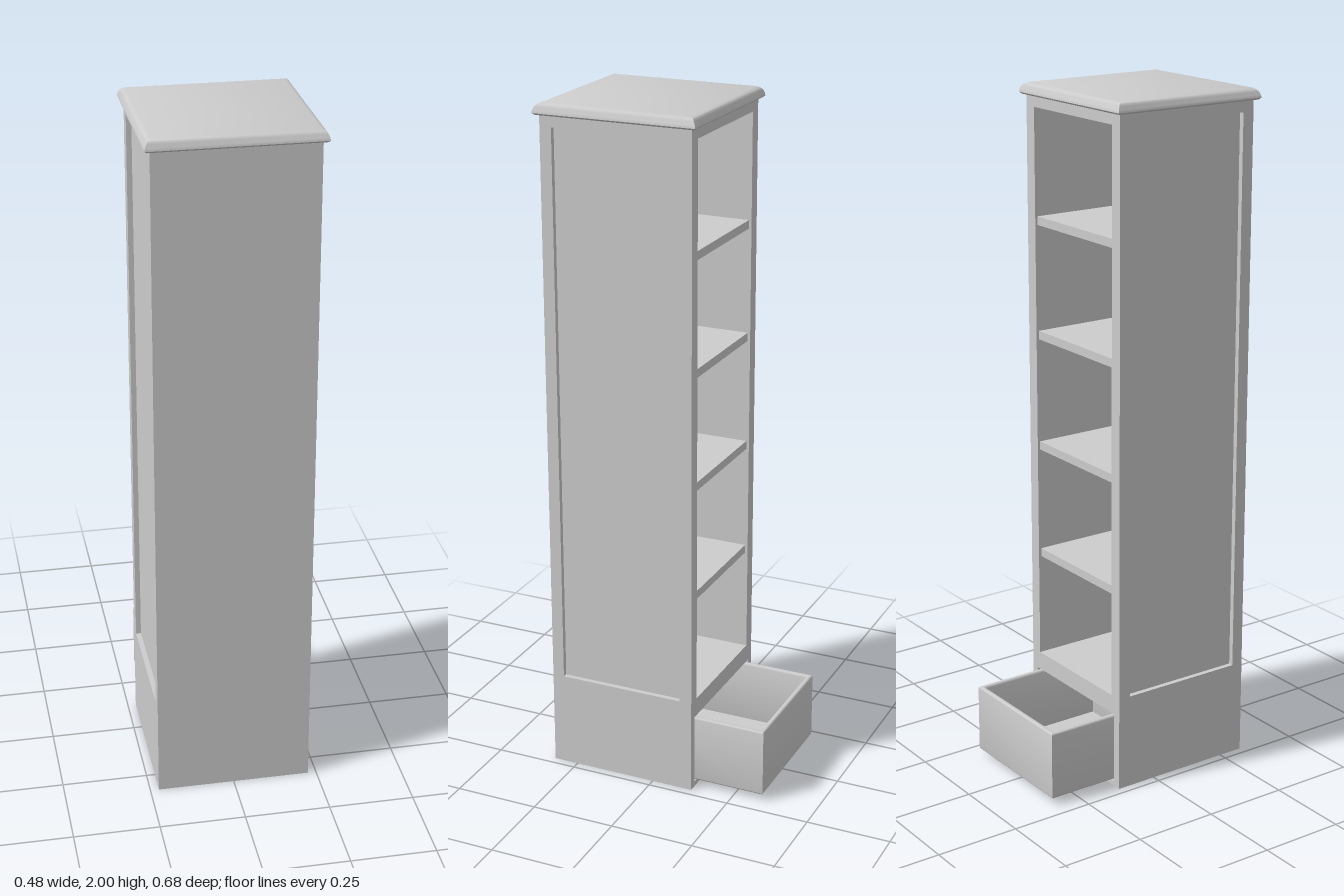
import * as THREE from 'three';
import { toCreasedNormals } from 'three/addons/utils/BufferGeometryUtils.js';

export function createModel() {
  const model = new THREE.Group();
  model.name = 'cabinet';
  const grey = new THREE.MeshStandardMaterial({ color: 0xcccccc });
  grey.name = 'light grey';

  const add = (name, geometry, parent = model) => {
    const mesh = new THREE.Mesh(geometry, grey);
    mesh.name = name;
    parent.add(mesh);
    return mesh;
  };
  // Box given by its extents on each axis
  const box = (name, [x0, x1], [y0, y1], [z0, z1], parent) => {
    const mesh = add(name, new THREE.BoxGeometry(x1 - x0, y1 - y0, z1 - z0), parent);
    mesh.position.set((x0 + x1) / 2, (y0 + y1) / 2, (z0 + z1) / 2);
    return mesh;
  };
  const rectangle = (Type, x0, x1, y0, y1) => new Type([
    new THREE.Vector2(x0, y0), new THREE.Vector2(x1, y0),
    new THREE.Vector2(x1, y1), new THREE.Vector2(x0, y1),
  ]);

  const back = -0.125, inner = 0.29, front = 0.325;
  const low = 0.285, high = 1.935, top = 1.97;

  // Closed front and horizontal boards
  box('frontPanel', [-0.21, 0.21], [0, top], [inner, front]);
  box('baseBoard', [-0.2, 0.2], [0, 0.015], [back, inner]);
  box('compartmentDivider', [-0.21, 0.21], [0.23, low], [back, inner]);
  box('topBoard', [-0.21, 0.21], [high, top], [back, inner]);

  // Sides: outer frame with a recessed panel behind it
  for (const s of [-1, 1]) {
    const side = new THREE.Group();
    side.name = s > 0 ? 'leftSide' : 'rightSide';
    model.add(side);
    const shape = rectangle(THREE.Shape, -front, -back, 0, top);
    shape.holes.push(rectangle(THREE.Path, -0.29, 0.087, low, high));
    const geometry = new THREE.ExtrudeGeometry(shape, { depth: 0.015, bevelEnabled: false });
    geometry.rotateY(Math.PI / 2);
    add('sideFrame', geometry, side).position.x = s > 0 ? 0.21 : -0.225;
    const span = (a, b) => (s > 0 ? [a, b] : [-b, -a]);
    box('recessedPanel', span(0.187, 0.21), [low, high], [back, inner], side);
    box('drawerBayWall', span(0.2, 0.21), [0, 0.23], [back, inner], side);
  }

  // Four evenly spaced shelves
  for (let i = 1; i <= 4; i++) {
    const y = low + i * 0.335;
    box('shelf' + i, [-0.187, 0.187], [y - 0.025, y], [back + 0.008, inner]);
  }

  // Overhanging cap with a rounded edge, as a four-sided lathe
  const profile = [[0, 1.967], [0.234, 1.967], [0.24, 1.972], [0.239, 1.98],
    [0.235, 1.989], [0.229, 1.996], [0.22, 2], [0, 2]]
    .map(([r, y]) => new THREE.Vector2(r * Math.SQRT2, y));
  const cap = new THREE.LatheGeometry(profile, 4);
  cap.rotateY(Math.PI / 4);
  add('cap', toCreasedNormals(cap, 0.75)).position.z = 0.1;

  // Open drawer: softened walls around a floor
  const drawer = new THREE.Group();
  drawer.name = 'drawer';
  model.add(drawer);
  const walls = rectangle(THREE.Shape, -0.197, 0.197, -0.08, 0.34);
  walls.holes.push(rectangle(THREE.Path, -0.182, 0.182, -0.065, 0.325));
  const bevel = 0.005;
  const wallGeometry = new THREE.ExtrudeGeometry(walls, {
    depth: 0.205 - 2 * bevel, bevelThickness: bevel, bevelSize: bevel,
    bevelOffset: -bevel, bevelSegments: 3,
  });
  wallGeometry.rotateX(-Math.PI / 2);
  add('drawerWalls', toCreasedNormals(wallGeometry, 0.75), drawer).position.y = 0.02 + bevel;
  box('drawerFloor', [-0.19, 0.19], [0.021, 0.036], [-0.333, 0.073], drawer);

  return model;
}
